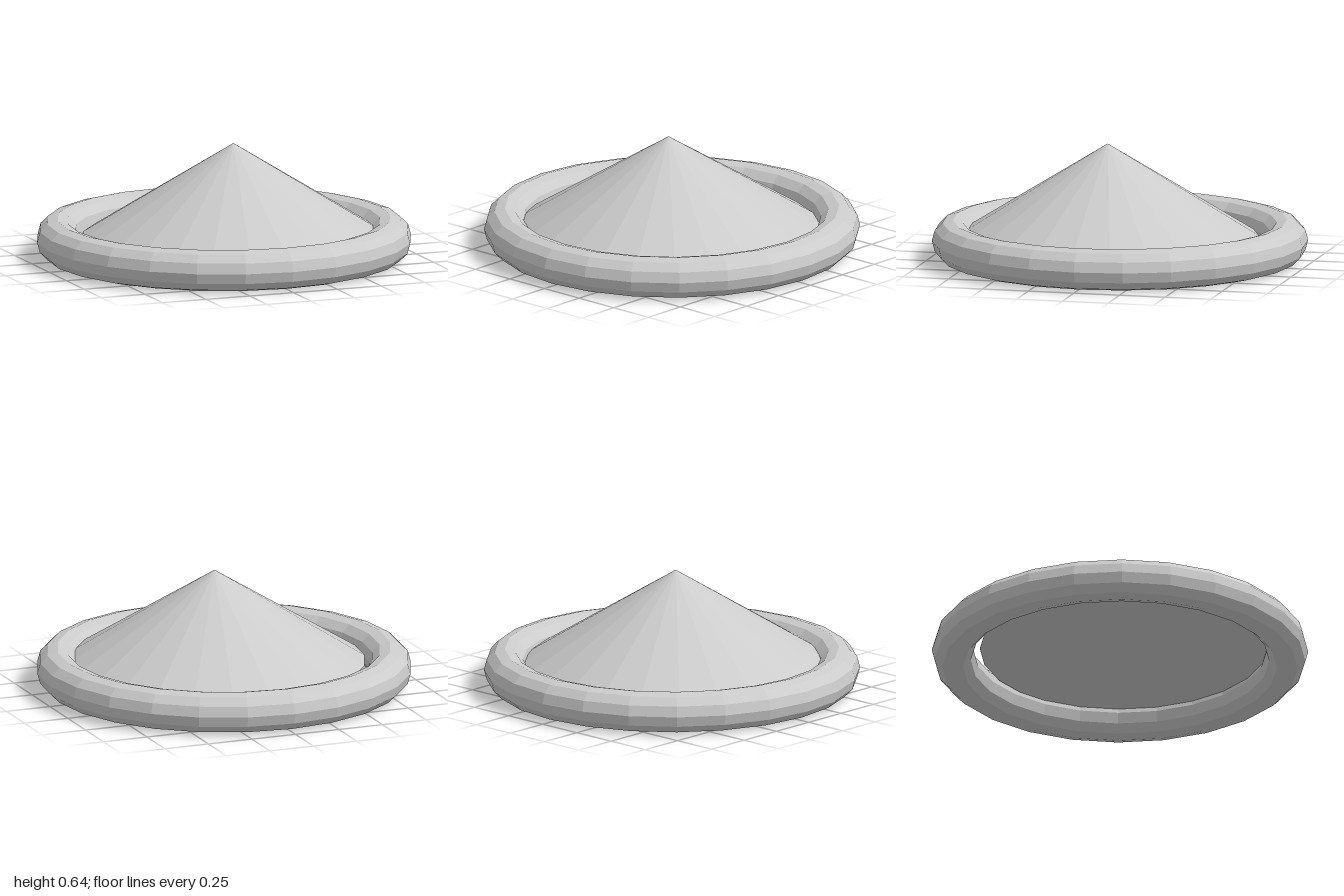
import * as THREE from 'three';

export function createModel() {
  const model = new THREE.Group();
  const material = new THREE.MeshStandardMaterial({ color: 0xcccccc, flatShading: true });

  function addPart(name, geometry, x, y, z) {
    const mesh = new THREE.Mesh(geometry, material);
    mesh.name = name;
    mesh.position.set(x, y, z);
    model.add(mesh);
  }

  // Faceted ring lying flat on the ground
  const tube = 0.111;
  const ring = new THREE.TorusGeometry(1 - tube, tube, 12, 24).rotateX(Math.PI / 2);
  addPart('ring', ring, 0, tube, 0);

  // Shallow closed cone, set slightly off centre inside the ring
  const height = 0.5;
  addPart('cone', new THREE.ConeGeometry(0.805, height, 24), 0.03, 0.636 - height / 2, 0.06);

  return model;
}
